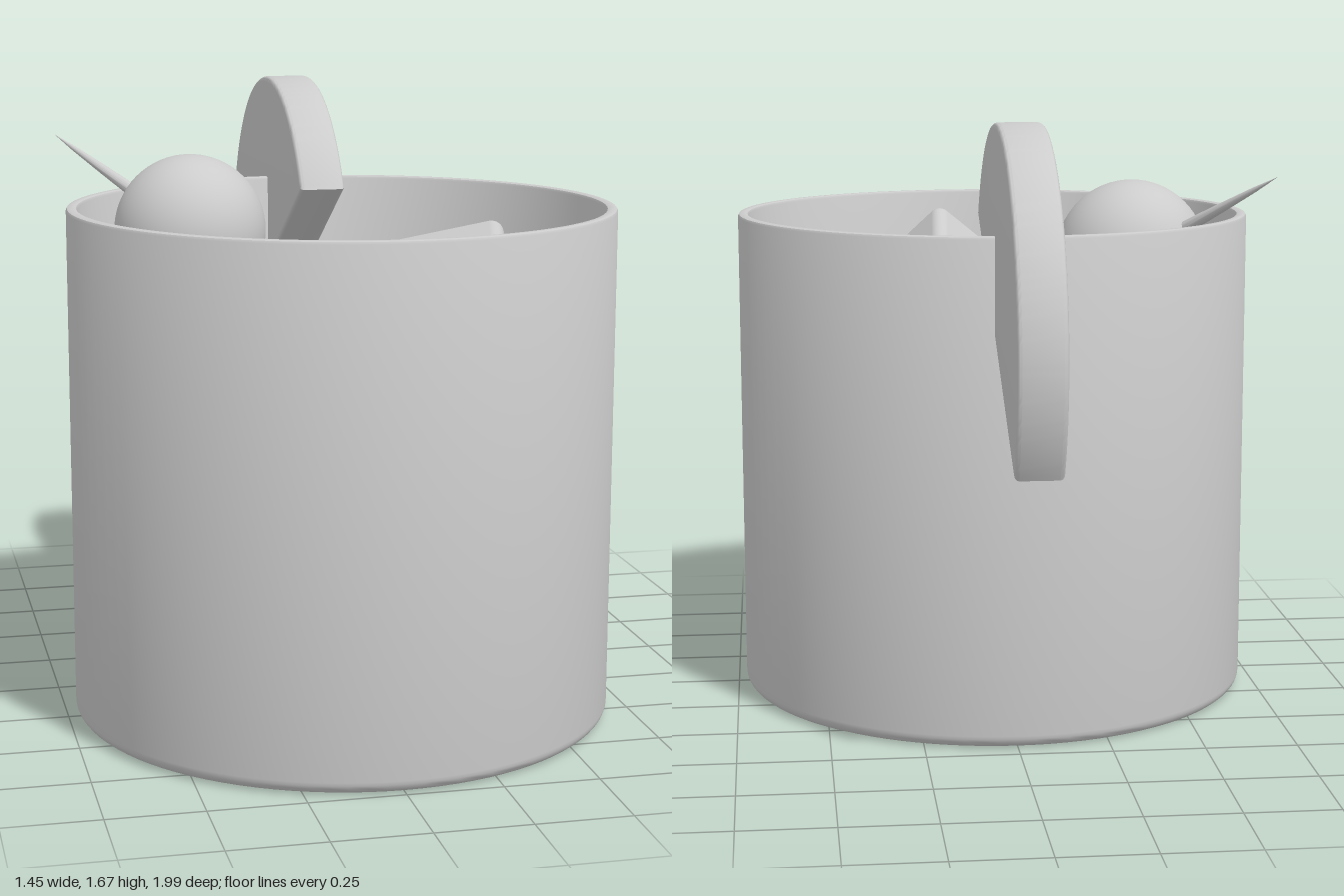
import * as THREE from 'three';
import { toCreasedNormals } from 'three/addons/utils/BufferGeometryUtils.js';
import { RoundedBoxGeometry } from 'three/addons/geometries/RoundedBoxGeometry.js';

const GLASS_Z = 0.27, RADIUS = 0.727, INNER = 0.697, HEIGHT = 1.375, LEVEL = 1.15;
const v2 = (x, y) => new THREE.Vector2(x, y);
const v3 = (x, y, z) => new THREE.Vector3(x, y, z);

export function createModel() {
  const group = new THREE.Group();
  const material = new THREE.MeshStandardMaterial({ color: 0xcccccc });
  const add = (name, geometry, x = 0, y = 0, z = 0) => {
    const mesh = new THREE.Mesh(geometry, material);
    mesh.name = name;
    mesh.position.set(x, y, z);
    group.add(mesh);
    return mesh;
  };

  // Tumbler: outer wall, rounded foot and rim, inner wall and floor
  const profile = [v2(0, 0), v2(RADIUS - 0.035, 0)];
  for (let i = 1; i <= 6; i++) {
    const a = (i / 6) * Math.PI / 2;
    profile.push(v2(RADIUS - 0.035 + 0.035 * Math.sin(a), 0.035 - 0.035 * Math.cos(a)));
  }
  profile.push(
    v2(RADIUS, HEIGHT - 0.008), v2(RADIUS - 0.003, HEIGHT - 0.002), v2(RADIUS - 0.008, HEIGHT),
    v2(INNER + 0.008, HEIGHT), v2(INNER + 0.003, HEIGHT - 0.002), v2(INNER, HEIGHT - 0.008),
    v2(INNER, 0.06), v2(0, 0.06));
  add('glass', toCreasedNormals(new THREE.LatheGeometry(profile, 96), 0.6), 0, 0, GLASS_Z);

  // Drink filling the tumbler
  add('liquid', new THREE.CylinderGeometry(INNER - 0.001, INNER - 0.001, LEVEL - 0.07, 96),
    0, (LEVEL + 0.07) / 2, GLASS_Z);

  // Half-round fruit slice sitting on the rim
  const half = new THREE.Shape();
  half.absarc(0, 0, 0.556, Math.PI / 6, Math.PI * 7 / 6, false);
  half.closePath();
  const bevel = 0.012, thickness = 0.125;
  const sliceGeometry = new THREE.ExtrudeGeometry(half, {
    depth: thickness - 2 * bevel, curveSegments: 64, bevelEnabled: true,
    bevelSize: bevel, bevelThickness: bevel, bevelOffset: -bevel, bevelSegments: 3,
  });
  sliceGeometry.translate(0, 0, -(thickness / 2 - bevel));
  sliceGeometry.rotateY(-Math.PI / 2);
  add('fruitSlice', toCreasedNormals(sliceGeometry, 0.6), 0, 1.11, -0.44);

  // Two cherries threaded on a pick
  add('upperCherry', new THREE.SphereGeometry(0.208, 48, 32), -0.357, 1.277, -0.035);
  add('lowerCherry', new THREE.SphereGeometry(0.2, 48, 32), -0.065, 1.055, 0.265);

  const tip = v3(-0.69, 1.517, -0.38);
  const along = v3(-0.065, 1.055, 0.265).sub(tip).normalize();
  const pickProfile = [v2(0, 0), v2(0.007, 0.08), v2(0.013, 0.2), v2(0.018, 0.33), v2(0.018, 1), v2(0, 1)];
  const pick = add('cocktailPick', toCreasedNormals(new THREE.LatheGeometry(pickProfile, 20), 0.6),
    tip.x, tip.y, tip.z);
  pick.quaternion.setFromUnitVectors(v3(0, 1, 0), along);
  // Lathe profile runs from the tip, bottom to top

  // Ice cubes, tilted in the drink
  const SIZE = 0.36;
  const cubeGeometry = new RoundedBoxGeometry(SIZE, SIZE, SIZE, 4, 0.035);
  const rightCube = add('rightIceCube', cubeGeometry, 0.345, 1.06, 0.13);
  rightCube.rotation.set(0.17, -0.26, 0.22, 'YXZ');
  const leftCube = add('leftIceCube', cubeGeometry, -0.44, 1.05, 0.415);
  leftCube.rotation.set(-0.15, 0.43, 0.25, 'YXZ');

  // Front cube stands with one corner up; its edges run down from that corner
  const corner = v3(0.115, 1.36, 0.785);
  const e1 = v3(0.66, -0.66, 0.35).normalize();
  const e3 = v3(0.09, -0.45, -0.89);
  e3.addScaledVector(e1, -e3.dot(e1)).normalize();
  const e2 = e3.clone().cross(e1);
  if (e2.y > 0) e2.negate();
  const centre = corner.clone();
  for (const e of [e1, e2, e3]) centre.addScaledVector(e, SIZE / 2);
  const frontCube = add('frontIceCube', cubeGeometry, centre.x, centre.y, centre.z);
  const up = e3.clone().cross(e1);
  frontCube.quaternion.setFromRotationMatrix(new THREE.Matrix4().makeBasis(e1, up, e3));

  return group;
}
